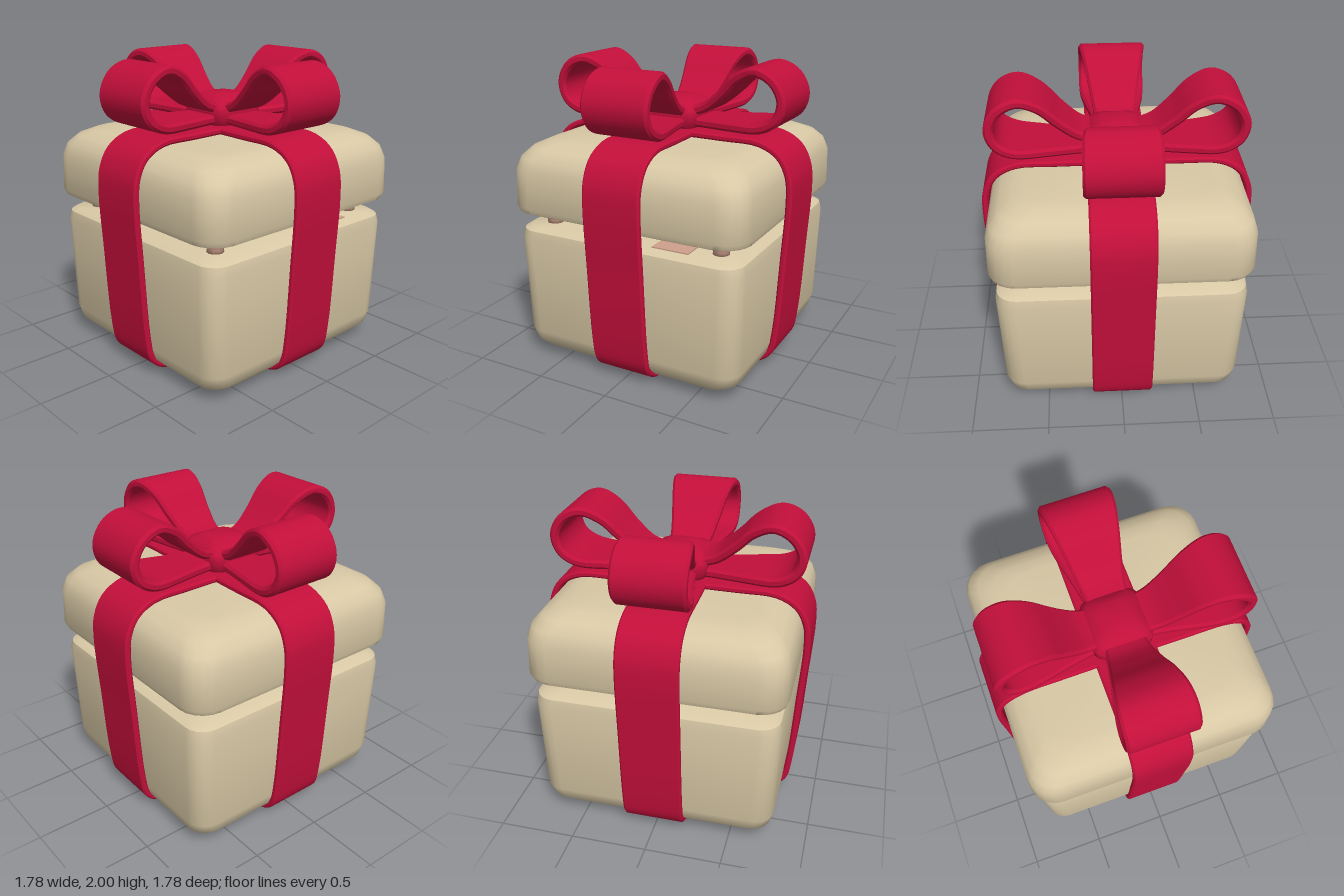
import * as THREE from 'three';
import { toCreasedNormals } from 'three/addons/utils/BufferGeometryUtils.js';

// Skins a row of equal-length point rings
function loft(rings, closed = false) {
  const n = rings[0].length, m = rings.length, index = [];
  for (let i = 0; i < (closed ? m : m - 1); i++) {
    for (let j = 0; j < n; j++) {
      const a = i * n + j, b = i * n + (j + 1) % n;
      const c = ((i + 1) % m) * n + j, d = ((i + 1) % m) * n + (j + 1) % n;
      index.push(a, c, b, b, c, d);
    }
  }
  const geo = new THREE.BufferGeometry().setFromPoints(rings.flat());
  geo.setIndex(index);
  return toCreasedNormals(geo, 0.75);
}

// Rounded square block from [height, half width] levels
function softBlock(levels, radius) {
  return loft(levels.map(([y, half]) => {
    const r = Math.min(radius, half), ring = [];
    for (let q = 0; q < 4; q++) {
      const mid = (q + 0.5) * Math.PI / 2;
      const cx = Math.sign(Math.cos(mid)) * (half - r), cz = Math.sign(Math.sin(mid)) * (half - r);
      for (let k = 0; k <= 5; k++) {
        const a = (q + k / 5) * Math.PI / 2;
        ring.push(new THREE.Vector3(cx + r * Math.cos(a), y, cz + r * Math.sin(a)));
      }
    }
    return ring;
  }));
}

// Flat strap with bevelled edges along a curve in the xy plane
function strap(points, closed, samples, t, widthAt) {
  const curve = new THREE.CatmullRomCurve3(points.map(([x, y]) => new THREE.Vector3(x, y, 0)), closed);
  const rings = [], b = t * 0.55;
  for (let i = 0; i < (closed ? samples : samples + 1); i++) {
    const p = curve.getPoint(i / samples), d = curve.getTangent(i / samples);
    const w = widthAt(p.x);
    const section = [[t, b - w], [t, w - b], [t - b, w], [b - t, w], [-t, w - b], [-t, b - w], [b - t, -w], [t - b, -w]];
    rings.push(section.map(([s, z]) => new THREE.Vector3(p.x + d.y * s, p.y - d.x * s, z)));
  }
  return loft(rings, closed);
}

export function createModel() {
  const model = new THREE.Group();
  model.name = 'giftBox';
  const material = (name, color) => new THREE.MeshStandardMaterial({ name, color });
  const beige = material('beigeCard', 0xd8c8a5);
  const red = material('redRibbon', 0xc20f3a);
  const pink = material('pinkClay', 0xcfa08c);
  red.side = THREE.DoubleSide;

  const add = (name, geo, mat) => {
    const mesh = new THREE.Mesh(geo, mat);
    mesh.name = name;
    model.add(mesh);
    return mesh;
  };

  // Box and lid
  add('boxBody', softBlock([
    [0.04, 0], [0.04, 0.63], [0.06, 0.71], [0.11, 0.76], [0.19, 0.782],
    [0.86, 0.8], [0.915, 0.79], [0.94, 0.755], [0.94, 0],
  ], 0.13), beige);
  add('lid', softBlock([
    [1.03, 0], [1.03, 0.79], [1.045, 0.82], [1.08, 0.832], [1.32, 0.826],
    [1.4, 0.8], [1.46, 0.745], [1.5, 0.66], [1.512, 0.58], [1.512, 0],
  ], 0.17), beige);

  // Turned spacers holding up the lid
  const spacer = new THREE.LatheGeometry([
    [0, 0.93], [0.055, 0.935], [0.05, 0.96], [0.065, 0.98], [0.062, 0.995],
    [0.042, 1.008], [0.055, 1.025], [0.05, 1.04], [0, 1.04],
  ].map(([x, y]) => new THREE.Vector2(x, y)), 10);
  for (const x of [-0.61, 0.61]) {
    for (const z of [-0.61, 0.61]) add('lidSpacer', spacer, pink).position.set(x, 0, z);
  }
  // Small liner patch in the gap
  add('linerPatch', new THREE.BoxGeometry(0.15, 0.008, 0.25), pink).position.set(0.65, 0.944, -0.32);

  // Two ribbon bands wrapped around the box
  const side = [
    [0.3, 0.021], [0.55, 0.022], [0.7, 0.05], [0.78, 0.12], [0.81, 0.25], [0.848, 0.8],
    [0.868, 1.2], [0.853, 1.34], [0.79, 1.455], [0.66, 1.525], [0.4, 1.535],
  ];
  const mirrored = side.map(([x, y]) => [-x, y]).reverse();
  const band = strap([...side, ...mirrored], true, 88, 0.021, () => 0.2);
  add('bandAcross', band, red);
  add('bandFrontToBack', band, red).rotation.y = Math.PI / 2;

  // Four bow loops, narrowing toward the knot
  const loop = strap([
    [0.08, 1.66], [0.24, 1.7], [0.37, 1.8], [0.49, 1.915], [0.62, 1.967], [0.74, 1.915],
    [0.8, 1.8], [0.77, 1.69], [0.67, 1.625], [0.45, 1.607], [0.08, 1.6],
  ], false, 50, 0.031, (x) => 0.13 + 0.1 * THREE.MathUtils.smoothstep(x, 0.1, 0.75));
  for (let i = 0; i < 4; i++) add('bowLoop', loop, red).rotation.y = i * Math.PI / 2;

  // Pillow knot
  add('knot', softBlock([
    [1.55, 0], [1.55, 0.17], [1.6, 0.195], [1.67, 0.195], [1.72, 0.165], [1.75, 0.1], [1.755, 0],
  ], 0.08), red);

  return model;
}
